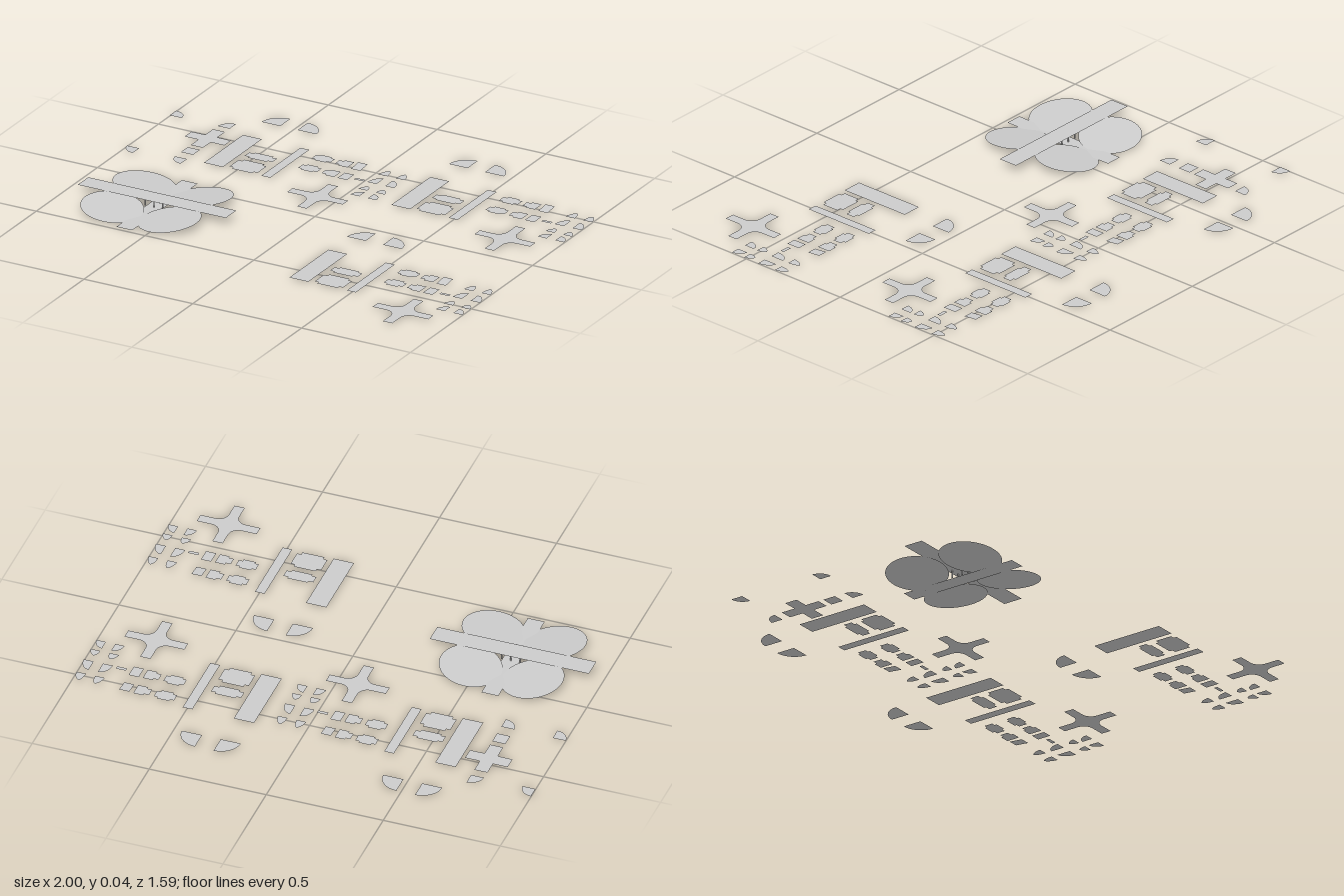
import * as THREE from 'three';

const material = new THREE.MeshStandardMaterial({ color: 0xcccccc, side: THREE.DoubleSide });
const GROUND = 0.004;

// Flat piece from a shape drawn in (x, -z)
function flat(parent, name, shape, y = GROUND) {
  const geometry = new THREE.ShapeGeometry(shape, 16).rotateX(-Math.PI / 2);
  const mesh = new THREE.Mesh(geometry, material);
  mesh.name = name;
  mesh.position.y = y;
  parent.add(mesh);
  return mesh;
}

const polygon = (points) => new THREE.Shape(points.map(([x, z]) => new THREE.Vector2(x, -z)));

function slab(parent, name, x0, x1, z0, z1, y) {
  return flat(parent, name, polygon([[x0, z0], [x0, z1], [x1, z1], [x1, z0]]), y);
}

// Quarter disc: sx, sz choose the quadrant seen from its square corner
function quarter(parent, name, x, z, rx, rz, sx, sz) {
  const points = [[x, z]];
  for (let i = 0; i <= 12; i++) {
    const a = (i / 12) * Math.PI / 2;
    points.push([x + sx * rx * Math.cos(a), z + sz * rz * Math.sin(a)]);
  }
  return flat(parent, name, polygon(points));
}

// Rectangular body with short side tabs
function tabbed(parent, name, x, z, halfBody, halfDepth, leftTab, rightTab, tabDepth) {
  const l = -halfBody, r = halfBody;
  const outline = [[l, -halfDepth], [l, -tabDepth], [l - leftTab, -tabDepth], [l - leftTab, tabDepth],
    [l, tabDepth], [l, halfDepth], [r, halfDepth], [r, tabDepth], [r + rightTab, tabDepth],
    [r + rightTab, -tabDepth], [r, -tabDepth], [r, -halfDepth]];
  return flat(parent, name, polygon(outline.map(([a, b]) => [x + a, z + b])));
}

// Crossroads with rounded inner corners
function crossroads(parent, x, z, arm, half, fillet) {
  const points = [];
  for (let q = 0; q < 4; q++) {
    const c = Math.round(Math.cos(q * Math.PI / 2)), s = Math.round(Math.sin(q * Math.PI / 2));
    const corner = [[arm, -half], [arm, half]];
    for (let i = 0; i <= 8; i++) {
      const a = (i / 8) * Math.PI / 2;
      corner.push([half + fillet * (1 - Math.sin(a)), half + fillet * (1 - Math.cos(a))]);
    }
    points.push(...corner.map(([a, b]) => [x + a * c - b * s, z + a * s + b * c]));
  }
  return flat(parent, 'crossroads', polygon(points));
}

// One set of road pieces
function roadKit(x, z) {
  const kit = new THREE.Group();
  kit.name = 'roadKit';
  kit.position.set(x, 0, z);
  quarter(kit, 'largeCornerRight', 0.3, -0.715, 0.086, 0.083, -1, -1);
  quarter(kit, 'largeCornerLeft', 0.38, -0.715, 0.086, 0.083, 1, -1);
  slab(kit, 'wideRoad', 0.213, 0.3, -0.565, -0.245);
  slab(kit, 'narrowRoad', 0.477, 0.518, -0.565, -0.245);
  tabbed(kit, 'smallJunction', 0.385, -0.405, 0.043, 0.029, 0.021, 0.021, 0.019);
  tabbed(kit, 'largeJunction', 0.385, -0.3, 0.047, 0.051, 0.018, 0.018, 0.037);
  for (const row of [-0.515, -0.405]) {
    tabbed(kit, 'doubleTabPiece', 0.61, row, 0.026, 0.029, 0.017, 0.017, 0.019);
    tabbed(kit, 'singleTabPiece', 0.716, row, 0.021, 0.029, 0.021, 0, 0.019);
    const square = slab(kit, 'squarePiece', 0.754, 0.797, row - 0.03, row + 0.03);
    // The square of the rear row is a gentle ramp
    if (row < -0.5) {
      const p = square.geometry.attributes.position;
      for (let i = 0; i < p.count; i++) p.setY(i, p.getZ(i) < row ? 0.004 : -0.002);
      square.geometry.computeVertexNormals();
    }
  }
  slab(kit, 'link', 0.818, 0.861, -0.412, -0.396);
  // Mirrored small corner wedges
  for (const s of [-1, 1]) {
    const inner = 0.94 + s * 0.02;
    quarter(kit, 'cornerWedge', inner, -0.398, 0.042, 0.06, s, -1);
    quarter(kit, 'cornerWedge', inner, -0.257, 0.04, 0.047, s, -1).name = 'smallCorner';
    for (const [base, height] of [[-0.487, 0.05], [-0.322, 0.038]]) {
      const tip = 0.94 + s * 0.036;
      const shape = new THREE.Shape();
      shape.moveTo(inner, -base);
      shape.lineTo(inner + s * 0.04, -base);
      shape.quadraticCurveTo(inner + s * 0.038, -base + height * 0.7, tip, -base + height);
      shape.quadraticCurveTo(inner, -base + height * 0.8, inner, -base);
      flat(kit, 'pointedWedge', shape);
    }
  }
  crossroads(kit, 0.775, -0.175, 0.128, 0.022, 0.042);
  return kit;
}

// Four-leaf interchange with a raised deck
function interchange(x, z) {
  const group = new THREE.Group();
  group.name = 'interchange';
  group.position.set(x, 0, z);
  slab(group, 'lowerRoad', -0.036, 0.036, -0.268, 0.268, 0.003);
  slab(group, 'upperRoad', -0.34, 0.34, -0.043, 0.043, 0.036);
  const r = 0.128, offset = 0.132;
  for (const sx of [-1, 1]) {
    for (const sz of [-1, 1]) {
      // Each leaf climbs outward in x and inward in z
      const leaf = new THREE.CircleGeometry(r, 48).rotateX(-Math.PI / 2);
      const p = leaf.attributes.position;
      for (let i = 0; i < p.count; i++) {
        p.setY(i, 0.018 + 0.12 * sx * p.getX(i) - 0.06 * sz * p.getZ(i));
      }
      leaf.computeVertexNormals();
      const mesh = new THREE.Mesh(leaf, material);
      mesh.name = 'leafRamp';
      mesh.position.set(sx * offset, 0, sz * offset);
      group.add(mesh);
    }
  }
  // Pillars below the upper deck
  for (const px of [-0.04, 0, 0.04]) {
    for (const pz of [-0.025, 0.025]) {
      const pillar = new THREE.Mesh(new THREE.CylinderGeometry(0.003, 0.003, 0.033, 8), material);
      pillar.name = 'pillar';
      pillar.position.set(px, 0.0195, pz);
      group.add(pillar);
    }
  }
  return group;
}

// Loose square crossing with its corners
function plainSet() {
  const set = new THREE.Group();
  set.name = 'plainCrossingSet';
  const cx = -0.753, cz = -0.465, a = 0.091, h = 0.028;
  flat(set, 'plainCrossing', polygon([[cx - a, cz - h], [cx - a, cz + h], [cx - h, cz + h], [cx - h, cz + a],
    [cx + h, cz + a], [cx + h, cz + h], [cx + a, cz + h], [cx + a, cz - h], [cx + h, cz - h],
    [cx + h, cz - a], [cx - h, cz - a], [cx - h, cz - h]]));
  slab(set, 'plainSquare', cx - h, cx + h, -0.35, -0.293);
  quarter(set, 'roundCorner', -1, -0.593, 0.055, 0.053, 1, -1);
  quarter(set, 'roundCorner', -0.725, -0.593, 0.055, 0.053, -1, -1);
  quarter(set, 'roundCorner', -0.945, -0.245, 0.055, 0.053, -1, 1);
  quarter(set, 'roundCorner', -0.725, -0.245, 0.055, 0.053, -1, 1);
  return set;
}

export function createModel() {
  const model = new THREE.Group();
  model.name = 'roadPieces';
  model.add(roadKit(0, 0), roadKit(-0.861, 0), roadKit(0, 0.834));
  model.add(interchange(-0.605, 0.215), plainSet());
  return model;
}
